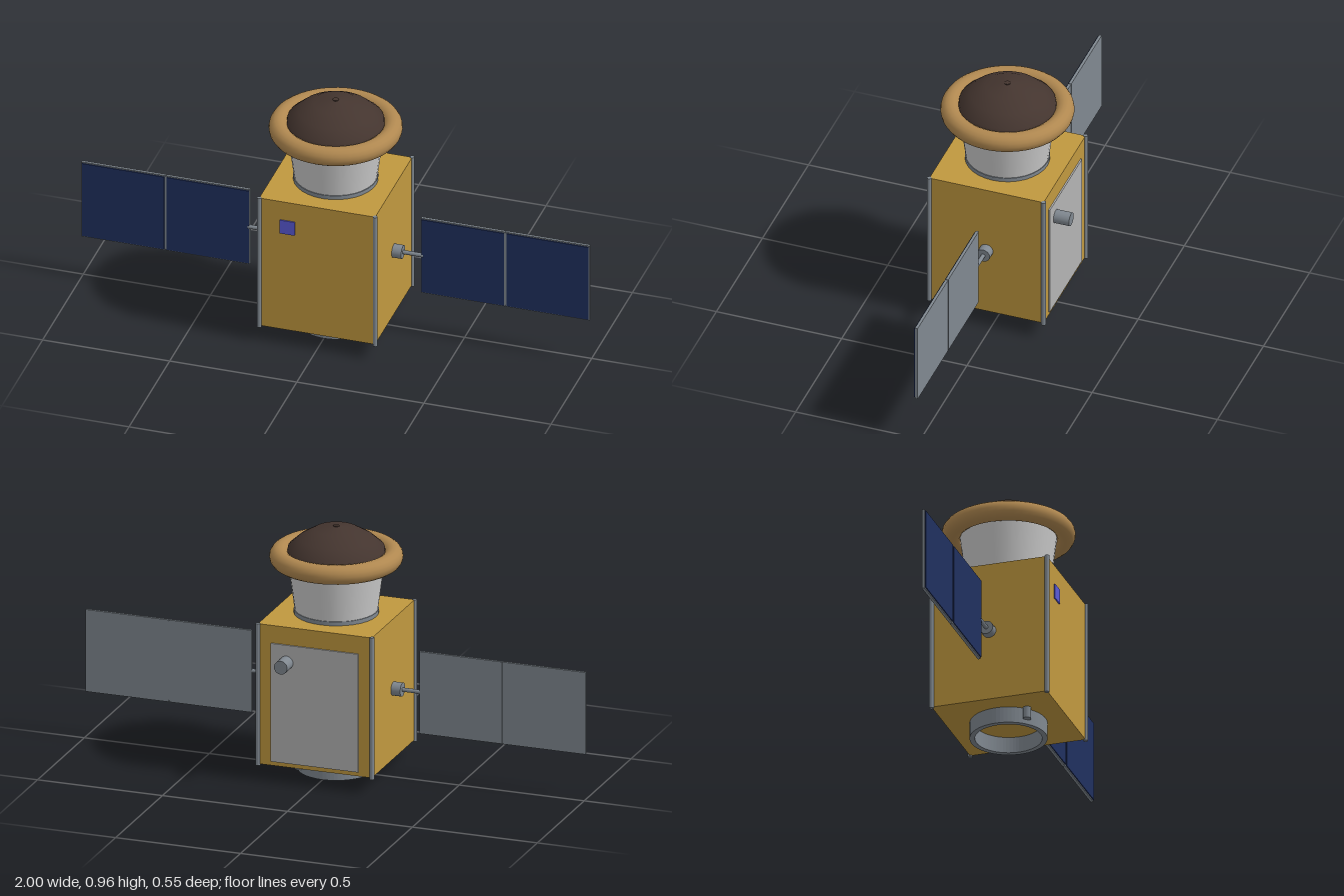
import * as THREE from 'three';

export function createModel() {
  const model = new THREE.Group();
  const CZ = 0.022; // centre line of the body in z
  const mat = (color, extra = {}) => new THREE.MeshStandardMaterial({ color, ...extra });
  const gold = mat(0xc0983f), grey = mat(0x808890), silver = mat(0xc8c8cc);
  const navy = mat(0x20305f), white = mat(0xb4b4b4), tan = mat(0xb08850);
  const brown = mat(0x44352f, { side: THREE.DoubleSide }), blue = mat(0x5a5ad8);

  const add = (name, geometry, material, x, y, z, parent = model) => {
    const mesh = new THREE.Mesh(geometry, material);
    mesh.name = name;
    mesh.position.set(x, y, z);
    parent.add(mesh);
    return mesh;
  };
  const box = (w, h, d) => new THREE.BoxGeometry(w, h, d);
  const cyl = (rTop, rBottom, h, n = 32) => new THREE.CylinderGeometry(rTop, rBottom, h, n);

  // Foil-covered body and its corner posts
  add('body', box(0.456, 0.557, 0.456), gold, 0, 0.3415, CZ);
  for (const sx of [-1, 1]) for (const sz of [-1, 1])
    add('cornerPost', cyl(0.009, 0.009, 0.564, 12), grey, sx * 0.228, 0.34, CZ + sz * 0.228);

  // Hollow mounting ring underneath, with two opposite pins
  const ring = new THREE.Shape().absarc(0, 0, 0.146, 0, Math.PI * 2);
  ring.holes.push(new THREE.Path().absarc(0, 0, 0.126, 0, Math.PI * 2, true));
  const ringGeometry = new THREE.ExtrudeGeometry(ring, { depth: 0.064, bevelEnabled: false, curveSegments: 32 });
  ringGeometry.rotateX(-Math.PI / 2);
  add('mountingRing', ringGeometry, grey, 0, 0, CZ);
  for (const s of [-1, 1])
    add('ringPin', cyl(0.016, 0.016, 0.048, 12), grey, s * 0.109, 0.042, CZ - s * 0.109);

  // Conical neck, rolled rim and dome
  add('neckCollar', cyl(0.16, 0.16, 0.017), grey, 0, 0.6275, CZ);
  add('neckCone', cyl(0.186, 0.157, 0.22), silver, 0, 0.745, CZ);
  const rim = new THREE.TorusGeometry(0.214, 0.0375, 16, 48);
  rim.rotateX(Math.PI / 2);
  add('rim', rim, tan, 0, 0.843, CZ);
  const dome = [[0.186, 0.85], [0.182, 0.878], [0.141, 0.915], [0.083, 0.949], [0, 0.963]];
  add('dome', new THREE.LatheGeometry(dome.map(p => new THREE.Vector2(...p)), 32), brown, 0, 0, CZ);
  add('domeCap', cyl(0.012, 0.012, 0.006, 12), brown, 0, 0.961, CZ);

  // Solar wings: hub, boom and two panels each side
  for (const s of [-1, 1]) {
    const wing = new THREE.Group();
    wing.name = s > 0 ? 'leftWing' : 'rightWing';
    model.add(wing);
    const hub = cyl(0.0265, 0.0265, 0.04, 24).rotateZ(Math.PI / 2);
    add('hub', hub, grey, s * 0.245, 0.343, CZ, wing);
    const boom = cyl(0.008, 0.008, 0.12, 12).rotateZ(Math.PI / 2);
    add('boom', boom, grey, s * 0.285, 0.343, CZ, wing);
    for (const x of [0.5015, 0.8345]) {
      add('panelBack', box(0.331, 0.326, 0.011), grey, s * x, 0.343, 0.0185, wing);
      add('solarCells', box(0.323, 0.316, 0.004), navy, s * x, 0.343, 0.026, wing);
    }
    add('panelHinge', box(0.006, 0.316, 0.005), grey, s * 0.668, 0.343, 0.02, wing);
  }

  // Sensor on the front, radiator and tracker on the back
  add('frontSensor', box(0.058, 0.058, 0.01), blue, -0.117, 0.512, 0.25);
  add('radiator', box(0.35, 0.47, 0.01), white, 0, 0.315, -0.207);
  const tracker = cyl(0.0265, 0.0265, 0.07, 24).rotateX(Math.PI / 2);
  add('tracker', tracker, grey, 0.112, 0.481, -0.239);

  return model;
}
